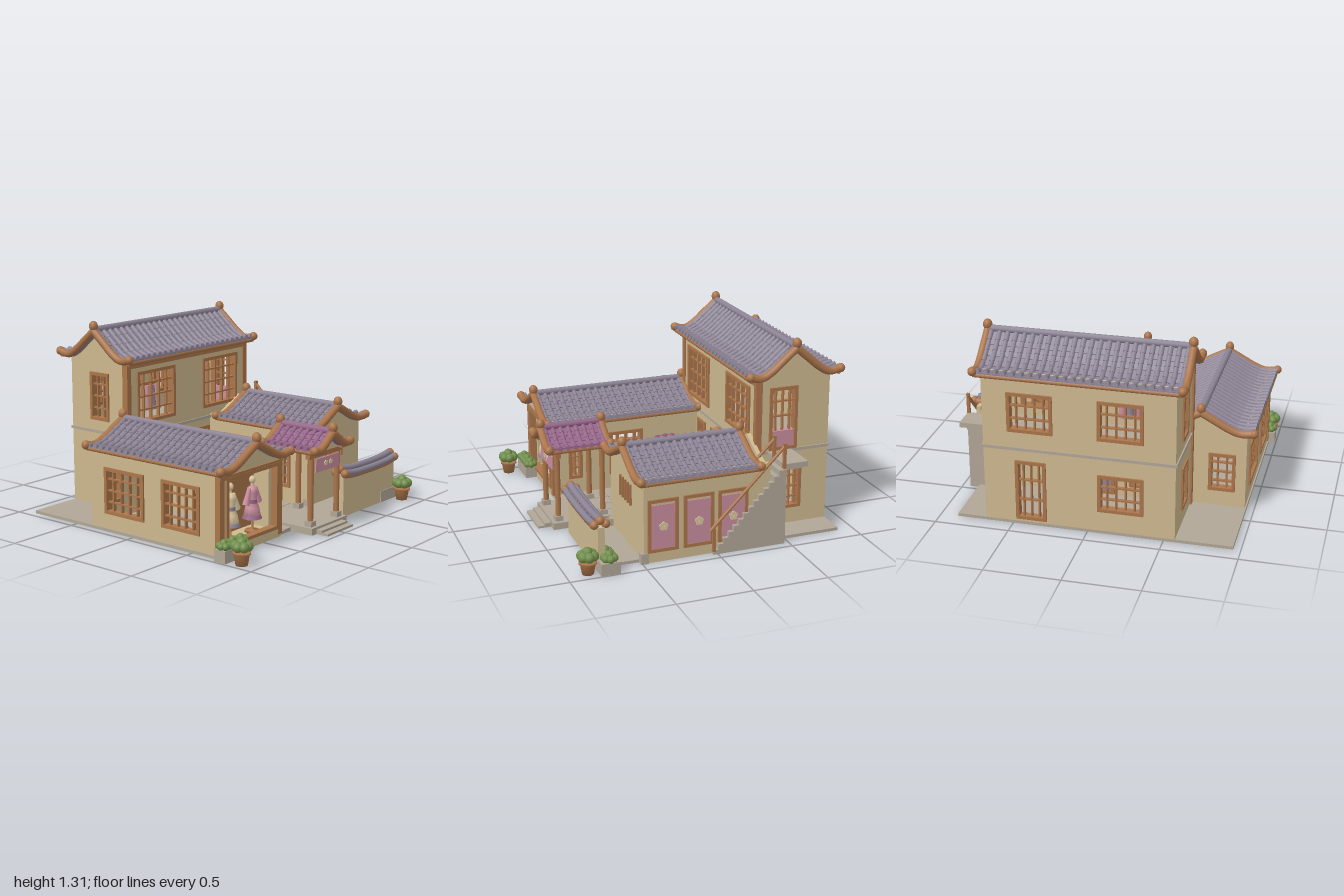
import * as THREE from 'three';
import { mergeGeometries } from 'three/addons/utils/BufferGeometryUtils.js';

const mat = (name, color, extra = {}) => Object.assign(new THREE.MeshStandardMaterial({ color, ...extra }), { name });
const M = {
  wall: mat('plaster', 0xcdb88f), wood: mat('wood', 0xab754b), tile: mat('roof tile', 0x8d8495),
  mauve: mat('mauve tile', 0x98688c), pink: mat('pink', 0xc98d9e), stone: mat('stone', 0xb0a696),
  leaf: mat('leaf', 0x718f4c), grass: mat('grass', 0x8f9e5a), plum: mat('blossom', 0x95506f), cream: mat('cream', 0xd9c69e)
};

function add(g, name, geo, m, x = 0, y = 0, z = 0) {
  const mesh = new THREE.Mesh(geo, m);
  mesh.name = name;
  mesh.position.set(x, y, z);
  g.add(mesh);
  return mesh;
}
// Box from its minimum and maximum on each axis
const box = (g, name, m, x0, x1, y0, y1, z0, z1) =>
  add(g, name, new THREE.BoxGeometry(x1 - x0, y1 - y0, z1 - z0), m, (x0 + x1) / 2, (y0 + y1) / 2, (z0 + z1) / 2);
const ball = (g, name, m, r, x, y, z) => add(g, name, new THREE.SphereGeometry(r, 12, 8), m, x, y, z);
function tube(g, name, m, pts, r, seg = 12) {
  const c = new THREE.CatmullRomCurve3(pts.map(p => new THREE.Vector3(...p)));
  return add(g, name, new THREE.TubeGeometry(c, seg, r, 8), m);
}
function group(parent, name) {
  const g = new THREE.Group();
  g.name = name;
  parent.add(g);
  return g;
}

// Half of the sweeping roof section, from ridge to eave
function section(hw, ridge, eave, n = 12) {
  const f = [[0, 1], [0.28, 0.58], [0.52, 0.22], [0.76, 0], [1, 0.08]];
  return new THREE.SplineCurve(f.map(([t, k]) => new THREE.Vector2(t * hw, eave + k * (ridge - eave)))).getSpacedPoints(n);
}

// Gabled roof with its ridge along z
function roof(parent, name, { hw, L, ridge, eave, m, cols, rows }) {
  const g = group(parent, name), p = section(hw, ridge, eave);
  const top = [...p.slice(1).reverse().map(q => new THREE.Vector2(-q.x, q.y)), ...p];
  const low = top.map(q => new THREE.Vector2(q.x, q.y - 0.022)).reverse();
  const sheet = new THREE.ExtrudeGeometry(new THREE.Shape([...top, ...low]), { depth: L, bevelEnabled: false });
  add(g, 'roofDeck', sheet, m, 0, 0, -L / 2);
  const tiles = [], c = new THREE.SplineCurve(p), w = L / cols;
  const put = (geo, s0, s1, side, z, lift) => {
    const a = c.getPointAt(s0), b = c.getPointAt(Math.min(s1, 1));
    geo.rotateZ(Math.atan2(b.y - a.y, b.x - a.x));
    geo.translate((a.x + b.x) / 2, (a.y + b.y) / 2 + lift, z);
    if (side < 0) geo.rotateY(Math.PI).translate(0, 0, 2 * z);
    tiles.push(geo);
  };
  const len = c.getLength() / rows;
  for (const side of [-1, 1]) for (let i = 0; i < cols; i++) {
    const z = -L / 2 + w * (i + 0.5);
    for (let j = 0; j < rows; j++) {
      const rib = new THREE.CylinderGeometry(w * 0.34, w * 0.27, len * 1.06, 8).rotateZ(Math.PI / 2).rotateX(0);
      rib.rotateY(Math.PI);
      put(rib, j / rows, (j + 1) / rows, side, z, 0.006);
      if (i < cols - 1 && j < rows - 1) {
        const pan = new THREE.BoxGeometry(len * 0.9, 0.008, w * 0.5);
        put(pan, (j + 0.5) / rows, (j + 1.5) / rows, side, z + w / 2, 0.003);
      }
    }
  }
  add(g, 'roofTiles', mergeGeometries(tiles), m);
  add(g, 'ridgeTile', new THREE.CylinderGeometry(0.022, 0.022, L, 10).rotateX(Math.PI / 2), m, 0, ridge + 0.012, 0);
  for (const s of [-1, 1]) {
    add(g, 'eavePole', new THREE.CylinderGeometry(0.016, 0.016, L, 8).rotateX(Math.PI / 2), M.wood, s * (hw - 0.01), eave - 0.008, 0);
    for (const e of [-1, 1]) {
      tube(g, 'bargeboard', M.wood, p.map(q => [s * q.x, q.y + 0.004, e * L / 2]), 0.026, 14);
      ball(g, 'bargeEnd', M.wood, 0.03, s * hw, p[12].y + 0.004, e * L / 2);
    }
    ball(g, 'ridgeFinial', M.wood, 0.031, 0, ridge + 0.036, s * L / 2).scale.y = 1.15;
  }
  return g;
}

// Flat frame for a wall: facing z uses world x, facing x uses world z as its local x
function face(parent, axis, pos, name) {
  const g = group(parent, name);
  if (axis === 'x') { g.rotation.y = -Math.PI / 2; g.position.x = pos; } else g.position.z = pos;
  return g;
}
// Wall with rectangular openings [x0, x1, y0, y1]; roofSection adds a gable
function wall(g, x0, x1, h, holes = [], roofSection) {
  const mid = (x0 + x1) / 2, half = (x1 - x0) / 2, s = new THREE.Shape();
  s.moveTo(x0, 0).lineTo(x1, 0).lineTo(x1, h);
  if (roofSection) {
    const p = roofSection.filter(q => q.x < half - 0.02);
    [...p].reverse().forEach(q => s.lineTo(mid + q.x, q.y - 0.018));
    p.slice(1).forEach(q => s.lineTo(mid - q.x, q.y - 0.018));
  }
  s.lineTo(x0, h);
  for (const [a, b, c, d] of holes)
    s.holes.push(new THREE.Path().moveTo(a, c).lineTo(a, d).lineTo(b, d).lineTo(b, c));
  add(g, 'wallPanel', new THREE.ExtrudeGeometry(s, { depth: 0.03, bevelEnabled: false }), M.wall, 0, 0, -0.015);
}
// Timber frame with lattice bars; panel fills the lower part up to a height
function lattice(g, [x0, x1, y0, y1], nx, ny, panelTop = 0, m = M.pink, t = 0.022) {
  const d = 0.027;
  for (const x of [x0, x1 - t]) box(g, 'frameSide', M.wood, x, x + t, y0, y1, -d, d);
  for (const y of [y0, y1 - t]) box(g, 'frameRail', M.wood, x0, x1, y, y + t, -d, d);
  const low = Math.max(panelTop, y0);
  for (let i = 1; i < nx; i++) { const x = x0 + (x1 - x0) * i / nx; box(g, 'bar', M.wood, x - 0.005, x + 0.005, low, y1, -0.012, 0.012); }
  for (let i = 1; i < ny; i++) { const y = low + (y1 - low) * i / ny; box(g, 'bar', M.wood, x0, x1, y - 0.005, y + 0.005, -0.012, 0.012); }
  if (panelTop) box(g, 'doorPanel', m, x0 + t, x1 - t, y0 + t, panelTop, -0.019, 0.019);
}
// Wall plus its framed openings: [rect, nx, ny, panelTop, material]
function glazedWall(parent, name, axis, pos, x0, x1, h, openings, sec) {
  const g = face(parent, axis, pos, name);
  wall(g, x0, x1, h, openings.map(o => o[0]), sec);
  openings.forEach(o => lattice(g, ...o));
  return g;
}
function flower(parent, r) {
  const g = group(parent, 'flowerEmblem');
  for (let i = 0; i < 5; i++) {
    const a = i * Math.PI * 0.4 + Math.PI / 2;
    add(g, 'petal', new THREE.CylinderGeometry(r * 0.5, r * 0.5, 0.008, 10).rotateX(Math.PI / 2), M.cream, Math.cos(a) * r * 0.6, Math.sin(a) * r * 0.6, 0);
  }
  return g;
}
function mannequin(parent, x, z, robe, trim) {
  const g = group(parent, 'mannequin');
  g.position.set(x, 0.07, z);
  const lathe = pts => new THREE.LatheGeometry(pts.map(p => new THREE.Vector2(...p)), 14);
  add(g, 'stand', lathe([[0, 0], [0.05, 0], [0.045, 0.012], [0.008, 0.02], [0.008, 0.1], [0, 0.1]]), M.wood);
  add(g, 'robe', lathe([[0, 0.09], [0.06, 0.09], [0.045, 0.16], [0.026, 0.2], [0.038, 0.26], [0.032, 0.285], [0.012, 0.3], [0, 0.3]]), robe);
  add(g, 'hem', new THREE.CylinderGeometry(0.056, 0.064, 0.022, 14), trim, 0, 0.099, 0);
  add(g, 'sash', new THREE.CylinderGeometry(0.032, 0.032, 0.024, 14), trim, 0, 0.2, 0);
  add(g, 'neck', new THREE.CylinderGeometry(0.01, 0.01, 0.04, 8), M.cream, 0, 0.31, 0);
  ball(g, 'head', M.cream, 0.021, 0, 0.338, 0).scale.y = 1.2;
  for (const s of [-1, 1])
    add(g, 'sleeve', new THREE.CylinderGeometry(0.013, 0.024, 0.11, 8), robe, s * 0.047, 0.235, 0).rotation.z = s * 0.35;
}
function bush(parent, x, y, z, r) {
  const g = group(parent, 'bush');
  for (let i = 0; i < 7; i++) {
    const a = i * Math.PI / 3, k = i < 6 ? r * 0.62 : 0;
    add(g, 'leafClump', new THREE.IcosahedronGeometry(r * 0.55, 1), M.leaf, x + Math.cos(a) * k, y + (i < 6 ? 0 : r * 0.4), z + Math.sin(a) * k);
  }
}
function pot(parent, x, z) {
  const pts = [[0, 0], [0.038, 0], [0.05, 0.07], [0.058, 0.07], [0.058, 0.085], [0, 0.085]].map(p => new THREE.Vector2(...p));
  add(parent, 'flowerPot', new THREE.LatheGeometry(pts, 14), M.wood, x, 0, z);
  bush(parent, x, 0.12, z, 0.062);
}

export function createModel() {
  const root = new THREE.Group();
  root.name = 'courtyardHouse';

  // Ground, paving, lawn and front steps
  box(root, 'foundation', M.stone, -0.95, 0.88, 0, 0.02, -0.89, 0.7);
  for (let i = 0; i < 5; i++) for (let j = 0; j < 9; j++)
    box(root, 'pavingSlab', M.stone, -0.26 + i * 0.107, -0.16 + i * 0.107, 0.02, 0.026, -0.3 + j * 0.112, -0.194 + j * 0.112);
  box(root, 'lawn', M.grass, -0.2, 0.01, 0, 0.03, -0.1, 0.25);
  box(root, 'gatePlatform', M.stone, -0.19, 0.21, 0, 0.045, 0.48, 0.87);
  box(root, 'frontStep', M.stone, -0.14, 0.15, 0, 0.03, 0.87, 0.915);
  box(root, 'frontStep', M.stone, -0.14, 0.15, 0, 0.015, 0.91, 0.96);

  // Two-storey rear hall
  const hall = group(root, 'rearHall'), hs = section(0.32, 1.235, 1.055);
  glazedWall(hall, 'hallFront', 'z', -0.385, -0.575, 0.685, 1.07, [[[-0.485, -0.1, 0.61, 0.97], 5, 4], [[0.2, 0.585, 0.61, 0.97], 5, 4],
    [[-0.3, -0.16, 0.1, 0.48], 3, 4], [[-0.06, 0.1, 0.03, 0.48], 2, 2, 0.38, M.tile], [[0.12, 0.27, 0.14, 0.48], 3, 4]]);
  glazedWall(hall, 'hallBack', 'z', -0.875, -0.575, 0.685, 1.07, [[[0.22, 0.52, 0.66, 0.93], 5, 3], [[-0.37, -0.07, 0.66, 0.93], 5, 3],
    [[0.27, 0.475, 0.04, 0.46], 4, 3], [[-0.37, -0.07, 0.16, 0.42], 5, 3]]);
  glazedWall(hall, 'hallLeftSide', 'x', 0.67, -0.89, -0.37, 1.06, [[[-0.66, -0.46, 0.55, 0.98], 4, 3, 0.68], [[-0.7, -0.54, 0.13, 0.43], 4, 4]], hs);
  glazedWall(hall, 'hallRightSide', 'x', -0.56, -0.89, -0.37, 1.06, [[[-0.71, -0.54, 0.62, 0.95], 3, 4], [[-0.71, -0.54, 0.13, 0.43], 3, 4]], hs);
  box(hall, 'upperFloor', M.stone, -0.585, 0.695, 0.53, 0.55, -0.897, -0.362);
  box(hall, 'topBeam', M.wood, -0.58, 0.69, 1.0, 1.035, -0.39, -0.358);
  for (const x of [-0.588, 0.658]) box(hall, 'cornerPost', M.wood, x, x + 0.038, 0.02, 1.05, -0.405, -0.36);
  for (let i = 0; i < 4; i++) {
    const x = -0.29 + i * 0.05;
    add(hall, 'hangingRobe', new THREE.CylinderGeometry(0.018, 0.03, 0.17, 8), [M.cream, M.pink, M.tile, M.pink][i], x, 0.74, -0.5);
  }
  box(hall, 'clothesRail', M.wood, -0.34, -0.1, 0.83, 0.84, -0.505, -0.495);
  const hr = roof(hall, 'hallRoof', { hw: 0.32, L: 1.335, ridge: 1.235, eave: 1.055, m: M.tile, cols: 24, rows: 5 });
  hr.rotation.y = Math.PI / 2;
  hr.position.set(0.047, 0, -0.63);

  // Shop wing with display window
  const shop = group(root, 'shopWing'), ss = section(0.352, 0.675, 0.55);
  const sf = face(shop, 'z', 0.7, 'shopFront');
  wall(sf, -0.94, -0.32, 0.55, [[-0.87, -0.37, 0.07, 0.48]], ss);
  lattice(sf, [-0.885, -0.355, 0.06, 0.5], 1, 1);
  for (const x of [-0.945, -0.355]) box(shop, 'shopPost', M.wood, x, x + 0.04, 0.02, 0.53, 0.68, 0.722);
  box(shop, 'shopBeam', M.wood, -0.94, -0.32, 0.49, 0.515, 0.69, 0.725);
  box(shop, 'displayBack', M.wood, -0.925, -0.335, 0.02, 0.54, 0.54, 0.55);
  box(shop, 'displayFloor', M.wall, -0.9, -0.35, 0.02, 0.07, 0.55, 0.71);
  for (const x of [-0.87, -0.405]) box(shop, 'displayReveal', M.wall, x, x + 0.035, 0.07, 0.48, 0.56, 0.68);
  mannequin(shop, -0.75, 0.645, M.cream, M.tile);
  mannequin(shop, -0.53, 0.645, M.pink, M.mauve);
  glazedWall(shop, 'shopOuterSide', 'x', -0.925, -0.365, 0.71, 0.56, [[[-0.24, 0.1, 0.12, 0.43], 5, 4], [[0.25, 0.56, 0.12, 0.43], 5, 4]]);
  glazedWall(shop, 'shopCourtSide', 'x', -0.335, -0.365, 0.71, 0.56, [[[0.5, 0.6, 0.13, 0.44], 2, 4], [[0.05, 0.3, 0.13, 0.44], 4, 4]]);
  glazedWall(shop, 'shopBack', 'z', -0.35, -0.94, -0.32, 0.55, [[[-0.87, -0.69, 0.13, 0.4], 3, 4]], ss);
  roof(shop, 'shopRoof', { hw: 0.352, L: 1.12, ridge: 0.675, eave: 0.55, m: M.tile, cols: 21, rows: 6 }).position.set(-0.63, 0, 0.195);

  // Side wing with pink doors
  const side = group(root, 'sideWing'), ws = section(0.355, 0.675, 0.55);
  glazedWall(side, 'sideFront', 'z', 0.475, 0.285, 0.915, 0.55, [], ws);
  for (let i = 0; i < 5; i++) box(side, 'windowBar', M.wood, 0.49 + i * 0.048, 0.502 + i * 0.048, 0.31, 0.45, 0.47, 0.505);
  const outer = glazedWall(side, 'sideOuter', 'x', 0.9, -0.37, 0.49, 0.56, []);
  glazedWall(side, 'sideCourt', 'x', 0.3, -0.37, 0.49, 0.56, [[[0.1, 0.35, 0.13, 0.44], 4, 4], [[-0.25, 0, 0.13, 0.44], 4, 4]]);
  glazedWall(side, 'sideBack', 'z', -0.355, 0.285, 0.915, 0.55, [], ws);
  for (const z of [0.26, 0.02, -0.215]) {
    lattice(outer, [z, z + 0.205, 0.07, 0.425], 6, 1, 0.385);
    const f = flower(side, 0.028);
    f.rotation.y = Math.PI / 2;
    f.position.set(0.922, 0.24, z + 0.1);
  }
  for (const x of [0.28, 0.88]) box(side, 'cornerStone', M.stone, x, x + 0.045, 0, 0.07, 0.46, 0.51);
  roof(side, 'sideRoof', { hw: 0.355, L: 0.805, ridge: 0.675, eave: 0.55, m: M.tile, cols: 15, rows: 6 }).position.set(0.6, 0, 0.118);

  // Gate with hanging banner
  const gate = group(root, 'gate');
  for (const x of [-0.14, 0.155]) for (const z of [0.51, 0.82]) {
    box(gate, 'postStone', M.stone, x - 0.027, x + 0.027, 0.02, 0.08, z - 0.027, z + 0.027);
    add(gate, 'gatePost', new THREE.CylinderGeometry(0.019, 0.019, 0.5, 10), M.wood, x, 0.31, z);
  }
  for (const z of [0.51, 0.82]) box(gate, 'crossBeam', M.wood, -0.18, 0.195, 0.495, 0.525, z - 0.017, z + 0.017);
  for (const x of [-0.14, 0.155]) box(gate, 'sideBeam', M.wood, x - 0.015, x + 0.015, 0.52, 0.55, 0.48, 0.87);
  box(gate, 'banner', M.pink, -0.125, 0.14, 0.4, 0.49, 0.842, 0.85);
  for (const x of [-0.02, 0.035]) flower(gate, 0.016).position.set(x, 0.45, 0.853);
  for (const z of [0.51, 0.82]) {
    const s = section(0.2, 0.645, 0.55).filter(q => q.x < 0.15), shp = new THREE.Shape();
    shp.moveTo(-0.15, 0.52).lineTo(0.15, 0.52);
    [...s].reverse().forEach(q => shp.lineTo(q.x, q.y - 0.015));
    s.slice(1).forEach(q => shp.lineTo(-q.x, q.y - 0.015));
    add(gate, 'gateGable', new THREE.ExtrudeGeometry(shp, { depth: 0.02, bevelEnabled: false }), M.wall, 0.007, 0, z - 0.01);
  }
  roof(gate, 'gateRoof', { hw: 0.2, L: 0.42, ridge: 0.645, eave: 0.55, m: M.mauve, cols: 8, rows: 4 }).position.set(0.007, 0, 0.675);

  // Low garden wall with tiled coping
  const low = group(root, 'gardenWall');
  box(low, 'lowWall', M.wall, 0.285, 0.915, 0, 0.29, 0.745, 0.79);
  for (const [z, y, r, m] of [[0.768, 0.322, 0.024, M.tile], [0.73, 0.296, 0.022, M.tile], [0.806, 0.296, 0.022, M.tile], [0.735, 0.275, 0.017, M.wood], [0.802, 0.275, 0.017, M.wood]]) {
    tube(low, 'copingPole', m, [[0.27, y + 0.015, z], [0.4, y, z], [0.77, y, z], [0.9, y + 0.015, z]], r, 16);
    if (m === M.tile) for (const x of [0.275, 0.895]) ball(low, 'copingEnd', M.wood, 0.029, x, y + 0.01, z);
  }

  // Outside stair, landing and handrails
  const stair = group(root, 'stair'), n = 14;
  for (let i = 0; i < n; i++)
    box(stair, 'step', M.stone, 0.78, 0.945, 0, 0.03 + i * 0.037, -0.47, 0.03 - i * 0.0345);
  box(stair, 'landing', M.stone, 0.685, 0.945, 0.515, 0.55, -0.62, -0.45);
  box(stair, 'landingBracket', M.stone, 0.69, 0.9, 0.49, 0.515, -0.6, -0.47);
  for (const x of [0.785, 0.937]) {
    tube(stair, 'handrail', M.wood, [[x, 0.165, 0.05], [x, 0.68, -0.465]], 0.011, 2);
    for (const [z, y0, y1] of [[0.025, 0.02, 0.18], [-0.455, 0.52, 0.69]]) box(stair, 'railPost', M.wood, x - 0.01, x + 0.01, y0, y1, z - 0.01, z + 0.01);
  }

  // Blossom tree
  const tree = group(root, 'blossomTree');
  tube(tree, 'trunk', M.wood, [[-0.12, 0.02, -0.05], [-0.135, 0.12, -0.06], [-0.11, 0.2, -0.08], [-0.12, 0.34, -0.08]], 0.019);
  for (const [x, z] of [[-0.24, -0.1], [0.01, -0.05], [-0.08, 0.08], [-0.12, -0.22]])
    tube(tree, 'branch', M.wood, [[-0.115, 0.2, -0.08], [(x - 0.115) / 2, 0.26, z / 2 - 0.04], [x, 0.34, z]], 0.009);
  const clumps = [];
  for (let i = 0; i < 75; i++) {
    const r = Math.sqrt((i + 0.5) / 75), a = i * 2.4, h = 0.39 - r * r * 0.05 + ((i * 7) % 5 - 2) * 0.018;
    clumps.push(new THREE.IcosahedronGeometry(0.03, 0).scale(1, 0.45, 1).rotateY(i).translate(-0.11 + Math.cos(a) * r * 0.15, h, -0.075 + Math.sin(a) * r * 0.195));
  }
  add(tree, 'blossom', mergeGeometries(clumps), M.plum);

  // Bench, planters and pots
  box(root, 'benchSeat', M.wood, 0.06, 0.2, 0.13, 0.15, -0.29, -0.16);
  for (const x of [0.07, 0.175]) for (const z of [-0.28, -0.185]) box(root, 'benchLeg', M.wood, x, x + 0.015, 0.02, 0.13, z, z + 0.015);
  box(root, 'planterBox', M.stone, -0.99, -0.76, 0, 0.08, 0.71, 0.795);
  box(root, 'planterBox', M.stone, 0.75, 0.995, 0, 0.08, 0.67, 0.795);
  for (const x of [-0.95, -0.87, -0.79]) bush(root, x, 0.1, 0.755, 0.045);
  for (const x of [0.87, 0.95]) bush(root, x, 0.1, 0.73, 0.05);
  pot(root, -0.935, 0.88);
  pot(root, 0.92, 0.86);
  return root;
}
